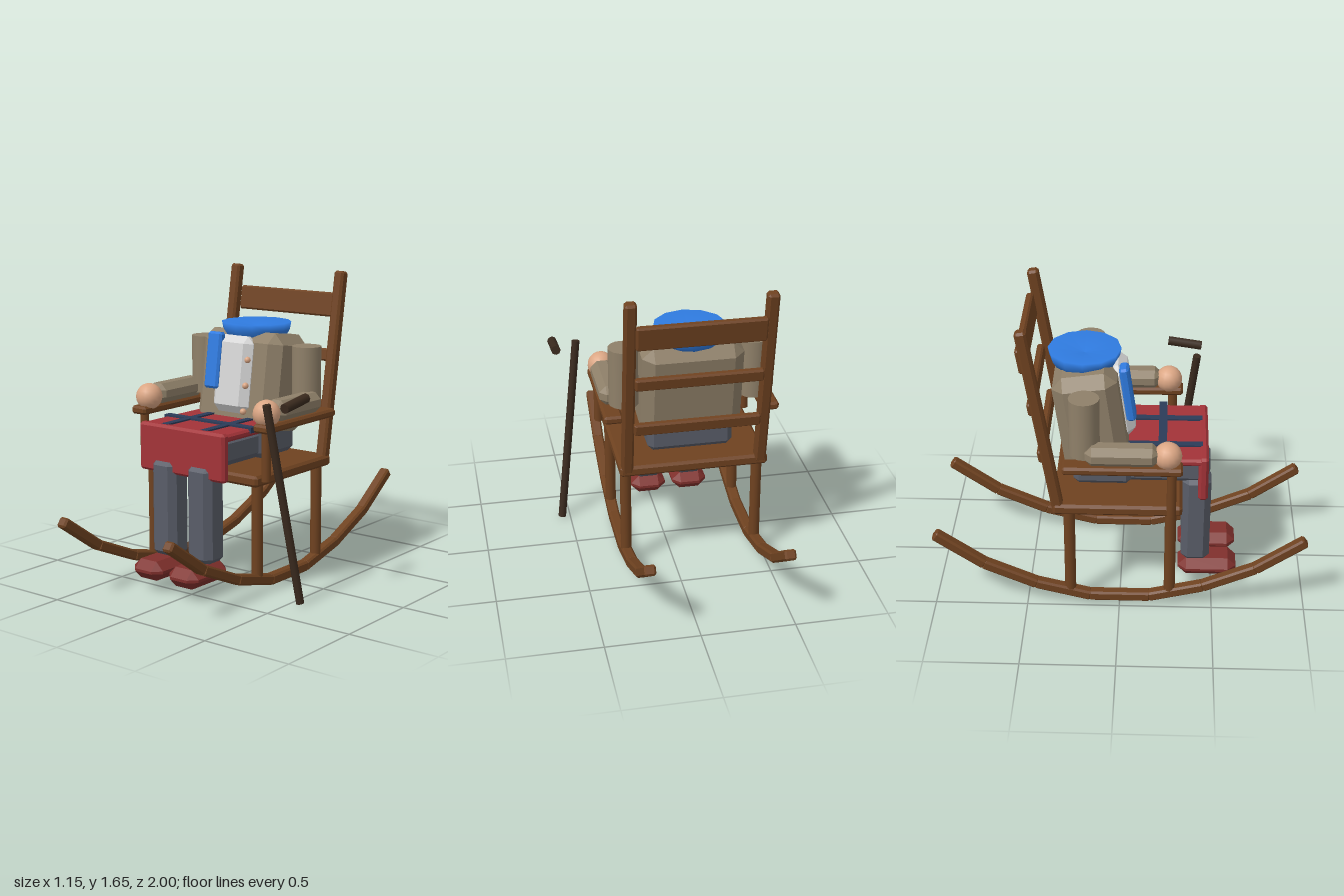
import * as THREE from 'three';
import { ConvexGeometry } from 'three/addons/geometries/ConvexGeometry.js';

const mat = (name, color) => {
  const m = new THREE.MeshStandardMaterial({ color });
  m.name = name;
  return m;
};

// Box with flat chamfers on every edge and corner
function chamferBox(w, h, d, c) {
  const pts = [];
  for (const x of [-1, 1]) for (const y of [-1, 1]) for (const z of [-1, 1]) {
    const a = w / 2, b = h / 2, e = d / 2;
    pts.push(
      new THREE.Vector3(x * a, y * (b - c), z * (e - c)),
      new THREE.Vector3(x * (a - c), y * b, z * (e - c)),
      new THREE.Vector3(x * (a - c), y * (b - c), z * e));
  }
  return new ConvexGeometry(pts);
}

export function createModel() {
  const model = new THREE.Group();
  model.name = 'rockingChairSitter';
  const wood = mat('wood', 0x6f4220), darkWood = mat('dark wood', 0x3a2a1e);
  const tan = mat('jacket tan', 0x8f8069), skin = mat('skin', 0xdba684);
  const blue = mat('scarf blue', 0x2f7be0), white = mat('shirt white', 0xd6d6d6);
  const navy = mat('stripe navy', 0x2b3b58), grey = mat('trouser grey', 0x595d68);
  const red = mat('blanket red', 0xa33338), shoeRed = mat('slipper red', 0x80302c);
  const CX = -0.1; // centre line of chair and sitter

  const add = (name, geo, material, x, y, z, parent = model) => {
    const m = new THREE.Mesh(geo, material);
    m.name = name;
    m.position.set(x, y, z);
    parent.add(m);
    return m;
  };
  const box = (name, material, w, h, d, c, x, y, z, parent) =>
    add(name, chamferBox(w, h, d, c), material, x, y, z, parent);
  // Rod between two points
  const rod = (name, material, a, b, r, sides = 12) => {
    const p = new THREE.Vector3(...a), q = new THREE.Vector3(...b);
    const m = add(name, new THREE.CylinderGeometry(r, r, p.distanceTo(q), sides), material, 0, 0, 0);
    m.position.copy(p).add(q).multiplyScalar(0.5);
    m.quaternion.setFromUnitVectors(new THREE.Vector3(0, 1, 0), q.sub(p).normalize());
    return m;
  };

  // Chair: rockers, legs, back posts and arms on both sides
  const curve = [[0.985, 0.425], [0.73, 0.245], [0.45, 0.122], [0.16, 0.05]];
  const arc = [...curve, ...curve.map(([z, y]) => [-z, y]).reverse()];
  const lean = Math.atan2(0.165, 1.03);
  for (const s of [-1, 1]) {
    const x = CX + s * 0.36;
    for (let i = 0; i < arc.length - 1; i++) {
      const [z0, y0] = arc[i], [z1, y1] = arc[i + 1];
      const seg = box('rockerSegment', wood, 0.06, 0.056, Math.hypot(z1 - z0, y1 - y0) + 0.012, 0.01,
        x, (y0 + y1) / 2, (z0 + z1) / 2);
      seg.rotation.x = Math.atan2(y1 - y0, z0 - z1);
    }
    rod('frontLeg', wood, [x, 0.07, 0.27], [x, 0.6, 0.27], 0.03);
    rod('rearLeg', wood, [x, 0.07, -0.265], [x, 0.6, -0.265], 0.03);
    box('backPost', wood, 0.062, 1.05, 0.06, 0.012, x, 1.132, -0.405).rotation.x = -lean;
    box('armrest', wood, 0.1, 0.045, 0.62, 0.012, CX + s * 0.42, 0.904, 0.018);
    rod('armSupport', wood, [CX + s * 0.42, 0.62, 0.272], [CX + s * 0.42, 0.89, 0.272], 0.025);
  }
  box('seat', wood, 0.8, 0.06, 0.68, 0.014, CX, 0.62, -0.01);
  for (const [y, h] of [[0.905, 0.07], [1.185, 0.07], [1.46, 0.135]]) {
    const z = -0.33 - (y - 0.62) * 0.16 - 0.03;
    box('backSlat', wood, 0.67, h, 0.038, 0.009, CX, y, z).rotation.x = -lean;
  }

  // Upper body, leaning against the chair back
  const body = new THREE.Group();
  body.name = 'upperBody';
  body.position.set(CX, 1.05, -0.155);
  body.rotation.x = -0.14;
  model.add(body);
  box('jacket', tan, 0.54, 0.55, 0.34, 0.06, 0, 0, 0, body);
  box('shirt', white, 0.24, 0.42, 0.1, 0.04, 0, 0.035, 0.165, body);
  for (const y of [0.12, -0.02, -0.16])
    add('button', new THREE.SphereGeometry(0.018, 10, 8), skin, 0.1, y, 0.192, body);
  box('scarfTail', blue, 0.095, 0.31, 0.05, 0.012, -0.112, 0.1, 0.207, body);

  // Scarf collar: shallow dish around the neck
  const collar = [[0.001, 1.27], [0.12, 1.275], [0.165, 1.3], [0.185, 1.335], [0.193, 1.377], [0.001, 1.348]]
    .map(([r, y]) => new THREE.Vector2(r, y));
  add('scarfCollar', new THREE.LatheGeometry(collar, 12), blue, CX, 0, -0.193);

  // Arms, hands and legs
  for (const s of [-1, 1]) {
    rod('upperArm', tan, [CX + s * 0.35, 0.95, -0.18], [CX + s * 0.35, 1.272, -0.18], 0.08, 16);
    box('forearm', tan, 0.125, 0.11, 0.38, 0.035, CX + s * 0.41, 0.98, 0.015);
    add('hand', new THREE.SphereGeometry(0.073, 16, 12), skin, CX + s * 0.404, 0.974, 0.25);
    const x = CX + s * 0.122;
    box('thigh', grey, 0.165, 0.16, 0.5, 0.035, x, 0.752, 0.2);
    box('shin', grey, 0.165, 0.54, 0.155, 0.035, x, 0.43, 0.408);
    box('slipper', shoeRed, 0.2, 0.105, 0.32, 0.045, x, 0.118, 0.475);
  }
  box('hips', grey, 0.46, 0.17, 0.31, 0.03, CX, 0.755, -0.095);

  // Lap blanket with crossed stripes
  box('blanketTop', red, 0.58, 0.04, 0.52, 0.012, CX, 0.855, 0.2);
  box('blanketFront', red, 0.58, 0.26, 0.052, 0.014, CX, 0.752, 0.439);
  for (const s of [-1, 1])
    add('blanketStripe', new THREE.BoxGeometry(0.042, 0.009, 0.49), navy, CX + s * 0.135, 0.879, 0.19);
  add('blanketCrossStripe', new THREE.BoxGeometry(0.6, 0.03, 0.045), navy, CX, 0.87, 0.222);

  // Walking cane and its separate handle
  rod('caneShaft', darkWood, [0.546, 0.005, 0.277], [0.42, 1.058, 0.405], 0.022, 10);
  rod('caneHandle', darkWood, [0.55, 1.056, 0.43], [0.55, 1.084, 0.245], 0.026, 8);

  return model;
}
